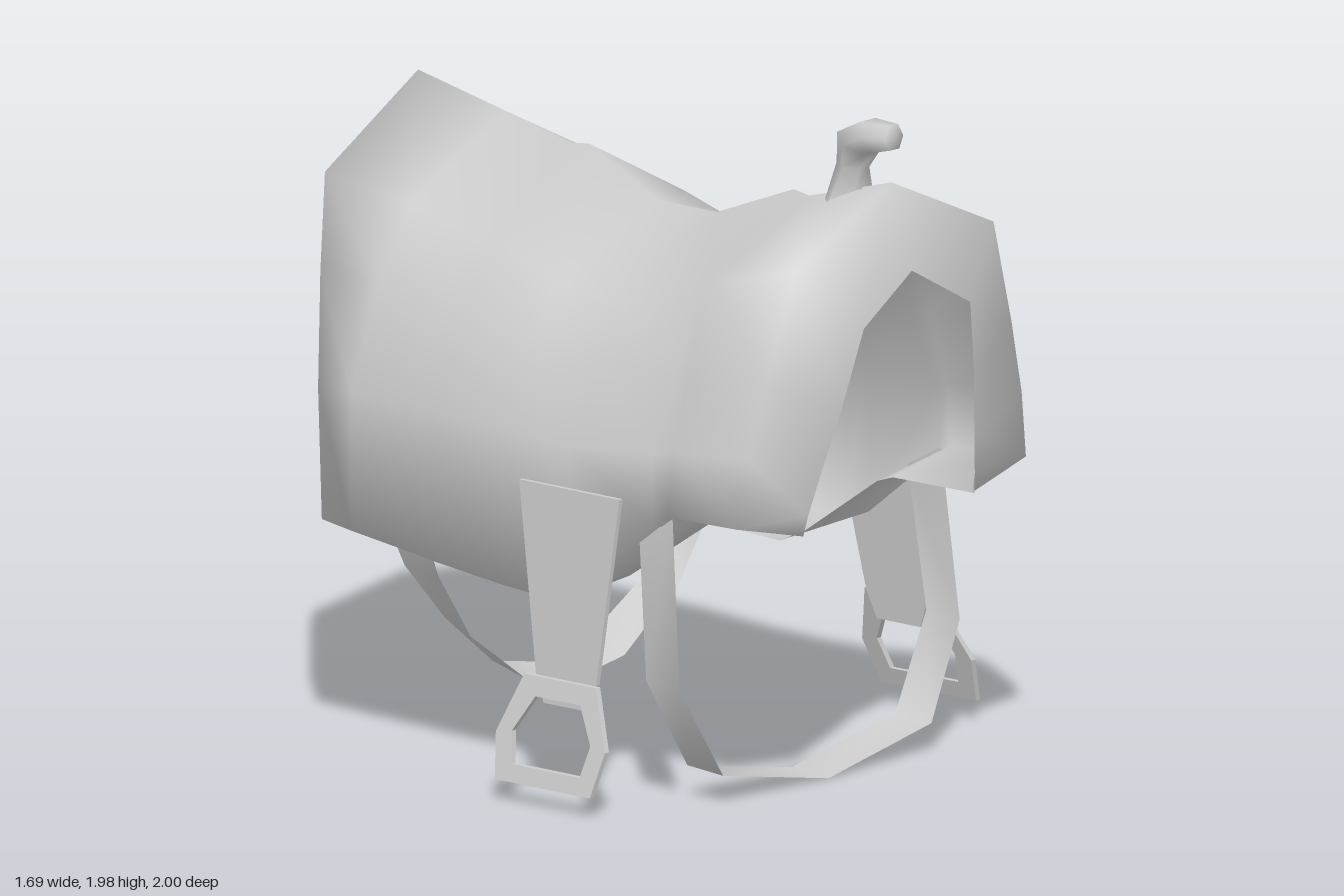
import * as THREE from 'three';
import { toCreasedNormals } from 'three/addons/utils/BufferGeometryUtils.js';

const material = new THREE.MeshStandardMaterial({ color: 0xcccccc, side: THREE.DoubleSide });

function addMesh(parent, name, geometry) {
  const mesh = new THREE.Mesh(geometry, material);
  mesh.name = name;
  parent.add(mesh);
}

// Skin a smooth surface over rows of [x, y, z] points
function loft(rows) {
  const n = rows[0].length, index = [];
  for (let i = 0; i < rows.length - 1; i++) {
    for (let j = 0; j < n - 1; j++) {
      const a = i * n + j, b = a + n;
      index.push(a, b, a + 1, a + 1, b, b + 1);
    }
  }
  const geometry = new THREE.BufferGeometry();
  geometry.setAttribute('position', new THREE.Float32BufferAttribute(rows.flat(2), 3));
  geometry.setIndex(index);
  return toCreasedNormals(geometry, 2.6);
}

// Complete a half section that starts on the centre line
const mirrorRow = (half) => [
  ...half.slice(1).reverse(),
  ...half.map(([x, y, z]) => [-x, y, z]),
];

// Upright plate in the z-y plane, leaning outwards by x = lean(y)
function plate(points, hole, thickness, lean, side) {
  const toVec = ([z, y]) => new THREE.Vector2(-z, y);
  const shape = new THREE.Shape(points.map(toVec));
  if (hole) shape.holes.push(new THREE.Path(hole.map(toVec)));
  const geometry = new THREE.ExtrudeGeometry(shape, { depth: thickness, bevelEnabled: false });
  geometry.translate(0, 0, -thickness / 2).rotateY(Math.PI / 2);
  const p = geometry.attributes.position;
  for (let i = 0; i < p.count; i++) p.setX(i, p.getX(i) + side * lean(p.getY(i)));
  geometry.computeVertexNormals();
  return geometry;
}

export function createModel() {
  const model = new THREE.Group();
  model.name = 'saddle';

  // Saddle body: front rim, plain sections, rear rim
  const frontRim = [
    [[0, 1.56, 0.98], [0.23, 1.43, 1.0], [0.285, 1.2, 0.965], [0.33, 1.01, 0.925], [0.36, 0.88, 0.9], [0.37, 0.82, 0.89]],
    [[0, 1.81, 0.9], [0.43, 1.62, 0.91], [0.53, 1.3, 0.89], [0.59, 1.08, 0.875], [0.625, 0.88, 0.86], [0.37, 0.82, 0.88]],
  ];
  // z, ridge height, then x, y from shoulder to inner bottom edge
  const sections = [
    [0.58, 1.72, 0.4, 1.53, 0.52, 1.28, 0.59, 1.06, 0.61, 0.87, 0.36, 0.82],
    [0.52, 1.73, 0.39, 1.51, 0.51, 1.27, 0.61, 1.04, 0.615, 0.83, 0.36, 0.8],
    [0.22, 1.615, 0.43, 1.43, 0.515, 1.27, 0.645, 1.03, 0.655, 0.61, 0.375, 0.6],
    [0.13, 1.615, 0.43, 1.43, 0.52, 1.28, 0.655, 1.04, 0.66, 0.575, 0.37, 0.56],
    [-0.01, 1.615, 0.43, 1.44, 0.53, 1.29, 0.67, 1.05, 0.665, 0.585, 0.37, 0.565],
    [-0.28, 1.74, 0.41, 1.53, 0.545, 1.34, 0.67, 1.06, 0.67, 0.615, 0.37, 0.59],
    [-0.35, 1.73, 0.41, 1.52, 0.545, 1.34, 0.67, 1.06, 0.67, 0.625, 0.37, 0.6],
    [-0.6, 1.785, 0.42, 1.58, 0.555, 1.37, 0.67, 1.07, 0.67, 0.655, 0.37, 0.63],
  ].map(([z, ridge, ...xy]) => {
    const half = [[0, ridge, z]];
    for (let i = 0; i < xy.length; i += 2) half.push([xy[i], xy[i + 1], z]);
    return half;
  });
  const rearRim = [
    [[0, 1.855, -0.945], [0.43, 1.63, -0.92], [0.555, 1.37, -0.825], [0.67, 1.06, -0.73], [0.665, 0.67, -0.72], [0.38, 0.66, -0.71]],
    [[0, 1.59, -1.0], [0.24, 1.43, -0.96], [0.34, 1.27, -0.86], [0.38, 1.05, -0.745], [0.385, 0.8, -0.71], [0.38, 0.7, -0.7]],
  ];
  addMesh(model, 'saddleBody', loft([...frontRim, ...sections, ...rearRim].map(mirrorRow)));

  // Horn: six-sided rings of [y, z, half width, half depth, forward tilt]
  const hornRings = [
    [1.745, 0.73, 0.075, 0.07, -0.45],
    [1.84, 0.75, 0.045, 0.045, 0.1],
    [1.91, 0.77, 0.068, 0.06, 0.5],
    [1.938, 0.83, 0.066, 0.05, 1.1],
    [1.945, 0.91, 0.04, 0.037, 1.5],
    [1.945, 0.912, 0.001, 0.001, 1.5],
  ].map(([y, z, w, d, tilt]) => {
    const ring = [];
    for (let k = 6; k >= 0; k--) {
      const a = ((k + 0.5) / 6) * Math.PI * 2, along = Math.cos(a) * d * 1.12;
      ring.push([Math.sin(a) * w, y - along * Math.sin(tilt), z + along * Math.cos(tilt)]);
    }
    return ring;
  });
  addMesh(model, 'horn', loft(hornRings));

  // Girth straps: ribbons of [x, front y, front z, rear y, rear z], mirrored
  const girth = (points) => loft([
    mirrorRow(points.map(([x, y, z]) => [x, y, z])),
    mirrorRow(points.map(([x, , , y, z]) => [x, y, z])),
  ]);
  addMesh(model, 'frontGirth', girth([
    [0, 0, 0.655, 0.01, 0.51],
    [0.45, 0.085, 0.65, 0.095, 0.51],
    [0.605, 0.36, 0.62, 0.37, 0.49],
    [0.58, 0.87, 0.57, 0.8, 0.44],
  ]));
  addMesh(model, 'rearGirth', girth([
    [0, 0.14, -0.33, 0.17, -0.47],
    [0.21, 0.175, -0.33, 0.21, -0.465],
    [0.45, 0.345, -0.335, 0.385, -0.435],
    [0.59, 0.55, -0.335, 0.56, -0.465],
    [0.64, 0.68, -0.335, 0.68, -0.48],
  ]));

  // Stirrups with their leathers, one each side
  for (const side of [1, -1]) {
    const group = new THREE.Group();
    group.name = side > 0 ? 'leftStirrup' : 'rightStirrup';
    addMesh(group, 'stirrupLeather', plate(
      [[0.45, 0.913], [0.06, 0.913], [0.165, 0.36], [0.2, 0.28], [0.37, 0.28], [0.4, 0.36]],
      null, 0.015, (y) => 0.72 - (y - 0.28) * 0.08, side));
    addMesh(group, 'stirrupIron', plate(
      [[0.42, 0.36], [0.14, 0.36], [0.08, 0.19], [0.115, 0.06], [0.485, 0.06], [0.505, 0.19]],
      [[0.375, 0.305], [0.2, 0.305], [0.14, 0.2], [0.165, 0.11], [0.43, 0.11], [0.445, 0.2]],
      0.018, (y) => 0.735 + (0.36 - y) * 0.33, side));
    model.add(group);
  }

  return model;
}
